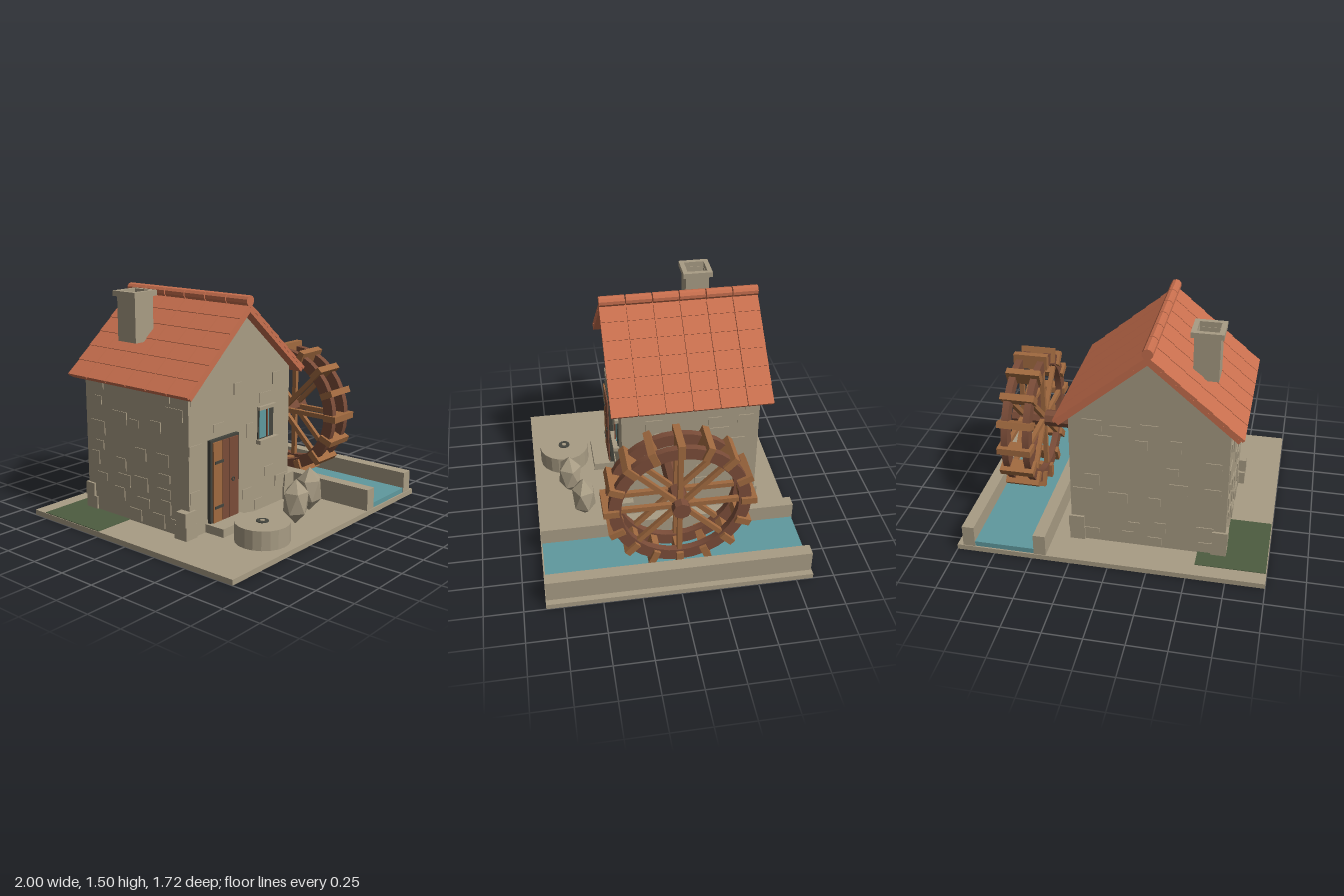
import * as THREE from 'three';
import { toCreasedNormals } from 'three/addons/utils/BufferGeometryUtils.js';

const mat = (name, color) => {
  const m = new THREE.MeshStandardMaterial({ color });
  m.name = name;
  return m;
};

export function createModel() {
  const stone = mat('stone', 0xa89c84), tile = mat('roof tile', 0xc86f4e);
  const darkWood = mat('dark wood', 0x7a4c38), lightWood = mat('light wood', 0xa0693f);
  const iron = mat('dark iron', 0x43443d), water = mat('water', 0x5f999e), moss = mat('moss', 0x4d5c40);
  const model = new THREE.Group();
  model.name = 'watermill';

  const add = (name, geo, m, x = 0, y = 0, z = 0, parent = model) => {
    const mesh = new THREE.Mesh(toCreasedNormals(geo, 0.2), m);
    mesh.name = name;
    mesh.position.set(x, y, z);
    parent.add(mesh);
    return mesh;
  };
  // box given by its limits on each axis
  const box = (name, m, [x0, x1], [y0, y1], [z0, z1], parent = model) =>
    add(name, new THREE.BoxGeometry(x1 - x0, y1 - y0, z1 - z0), m,
      (x0 + x1) / 2, (y0 + y1) / 2, (z0 + z1) / 2, parent);
  const group = (name, x = 0, y = 0, z = 0, parent = model) => {
    const g = new THREE.Group();
    g.name = name;
    g.position.set(x, y, z);
    parent.add(g);
    return g;
  };
  let seed = 7;
  const rand = () => (seed = (seed * 16807) % 2147483647) / 2147483647;

  // ground, moss and mill race
  box('base', stone, [-1, 1], [0, 0.035], [-0.86, 0.86]);
  box('mossPatch', moss, [-0.995, -0.545], [0.035, 0.039], [-0.76, -0.245]);
  box('water', water, [0.485, 0.88], [0.035, 0.07], [-0.85, 0.85]);
  for (const x of [0.405, 0.88]) box('channelWall', stone, [x, x + 0.08], [0.035, 0.18], [-0.855, 0.855]);

  // house body with gables
  const RX = -0.22, X0 = -0.72, X1 = 0.285, Z0 = -0.63, Z1 = 0.28;
  const wall = new THREE.Shape([[X0, 0.035], [X1, 0.035], [X1, 0.985], [RX, 1.41], [X0, 0.985]]
    .map(p => new THREE.Vector2(...p)));
  add('houseWalls', new THREE.ExtrudeGeometry(wall, { depth: Z1 - Z0, bevelEnabled: false }), stone, 0, 0, Z0);

  // slightly raised stones scattered over the four walls
  const stones = group('wallStones');
  const t = 0.006;
  for (const side of ['front', 'back', 'left', 'right']) {
    const alongX = side === 'front' || side === 'back';
    const [a, b] = alongX ? [X0, X1] : [Z0, Z1];
    for (let row = 0; row < 9; row++) {
      for (let p = a + rand() * 0.1; p < b - 0.14; p += 0.15 + rand() * 0.08) {
        const w = 0.07 + rand() * 0.07, y = 0.05 + row * 0.103, h = 0.05 + rand() * 0.045;
        if (rand() < 0.5) continue;
        if (side === 'front' && ((p < -0.25 && p + w > -0.57 && y < 0.66) ||
          (p < 0.14 && p + w > -0.09 && y < 0.76 && y + h > 0.48))) continue;
        const face = { front: [Z1, Z1 + t], back: [Z0 - t, Z0], left: [X1, X1 + t], right: [X0 - t, X0] }[side];
        if (alongX) box('wallStone', stone, [p, p + w], [y, y + h], face, stones);
        else box('wallStone', stone, face, [y, y + h], [p, p + w], stones);
      }
    }
  }
  // stepped quoins at the foot of each corner
  for (const [cx, sx] of [[X0, -1], [X1, 1]]) for (const [cz, sz] of [[Z0, -1], [Z1, 1]]) {
    const out = sz > 0 ? 0.045 : 0.01;
    add('quoin', new THREE.BoxGeometry(0.1, 0.09, 0.1), stone, cx + sx * (out - 0.05), 0.08, cz + sz * -0.035);
    add('quoin', new THREE.BoxGeometry(0.1, 0.09, 0.08), stone, cx + sx * (out - 0.045), 0.17, cz + sz * -0.025);
  }

  // roof: two slopes, each a board covered with rows of overlapping tiles
  const ZC = -0.175, LEN = 1.06, pitch = 0.703, slope = 0.76;
  for (const s of [-1, 1]) {
    const g = group(s > 0 ? 'leftRoof' : 'rightRoof', RX, 1.45, ZC);
    g.rotation.z = -s * pitch;
    add('roofBoard', new THREE.BoxGeometry(slope - 0.01, 0.025, LEN - 0.01), tile, s * slope / 2, -0.03, 0, g);
    const rows = 6, cols = 6, rl = slope / rows, cw = LEN / cols;
    for (let r = 0; r < rows; r++) for (let c = 0; c < cols; c++) {
      const m = add('roofTile', new THREE.BoxGeometry(rl + 0.01, 0.02, cw - 0.008), tile,
        s * (r + 0.5) * rl, -0.008, (c + 0.5) * cw - LEN / 2, g);
      m.rotation.z = s * 0.04;
    }
  }
  for (let c = 0; c < 6; c++) {
    const g = new THREE.CylinderGeometry(0.035, 0.035, LEN / 6 - 0.008, 10).rotateX(Math.PI / 2);
    add('ridgeTile', g, tile, RX, 1.465, ZC - LEN / 2 + (c + 0.5) * LEN / 6);
  }

  // hollow chimney
  const tube = (half, hole, h) => {
    const sq = k => [[-k, -k], [k, -k], [k, k], [-k, k]].map(p => new THREE.Vector2(...p));
    const s = new THREE.Shape(sq(half));
    s.holes.push(new THREE.Path(sq(hole)));
    return new THREE.ExtrudeGeometry(s, { depth: h, bevelEnabled: false }).rotateX(-Math.PI / 2);
  };
  add('chimney', tube(0.08, 0.065, 0.29), stone, -0.53, 1.18, -0.345);
  add('chimneyCap', tube(0.1, 0.068, 0.035), stone, -0.53, 1.47, -0.345);
  box('flue', iron, [-0.595, -0.465], [1.27, 1.28], [-0.41, -0.28]);

  // door with frame, planks, hinges and handle
  box('doorFrame', iron, [-0.55, -0.275], [0.05, 0.63], [0.27, 0.305]);
  [[-0.53, -0.447, lightWood], [-0.443, -0.385, darkWood], [-0.381, -0.29, darkWood]].forEach(([a, b, m]) =>
    box('doorPlank', m, [a, b], [0.06, 0.615], [0.29, 0.315]));
  for (const y of [0.18, 0.475]) box('hinge', iron, [-0.52, -0.44], [y, y + 0.018], [0.31, 0.32]);
  add('doorHandle', new THREE.TorusGeometry(0.012, 0.004, 6, 12), iron, -0.345, 0.34, 0.318);
  box('doorStep', stone, [-0.57, -0.265], [0.035, 0.09], [0.28, 0.425]);

  // window
  box('windowFrame', iron, [-0.055, 0.105], [0.525, 0.73], [0.27, 0.288]);
  box('windowGlass', water, [-0.045, 0.055], [0.535, 0.725], [0.286, 0.292]);
  box('windowBar', darkWood, [0.022, 0.034], [0.535, 0.725], [0.286, 0.3]);
  box('windowSill', stone, [-0.07, 0.125], [0.5, 0.527], [0.27, 0.32]);
  box('windowLintel', stone, [-0.06, 0.115], [0.725, 0.748], [0.27, 0.305]);

  // millstone lying in the yard
  add('millstone', new THREE.CylinderGeometry(0.175, 0.175, 0.125, 20), stone, -0.44, 0.0975, 0.63);
  add('millstoneEye', new THREE.CylinderGeometry(0.04, 0.04, 0.006, 12), iron, -0.44, 0.162, 0.63);
  add('millstonePin', new THREE.CylinderGeometry(0.016, 0.016, 0.008, 8), stone, -0.44, 0.164, 0.63);

  // pointed boulders
  [[-0.075, 0.615, 0.2], [0.18, 0.54, 0.9]].forEach(([x, z, turn]) => {
    const g = new THREE.IcosahedronGeometry(1, 0).rotateZ(-0.5536).rotateY(turn).scale(0.098, 0.152, 0.088);
    add('boulder', g, stone, x, 0.182, z);
  });

  // water wheel: axle, two rims with spokes, paddles
  const wheel = group('waterWheel', 0, 0.552, -0.02);
  add('axle', new THREE.CylinderGeometry(0.058, 0.058, 0.565, 8).rotateZ(Math.PI / 2), darkWood, 0.5625, 0, 0, wheel);
  const ring = new THREE.Shape().absarc(0, 0, 0.45, 0, Math.PI * 2);
  ring.holes.push(new THREE.Path().absarc(0, 0, 0.372, 0, Math.PI * 2, true));
  for (const x of [0.605, 0.75]) {
    const rim = new THREE.ExtrudeGeometry(ring, { depth: 0.045, bevelEnabled: false, curveSegments: 16 });
    add('rim', rim.rotateY(Math.PI / 2), darkWood, x, 0, 0, wheel);
    for (let i = 0; i < 8; i++) {
      const spoke = new THREE.BoxGeometry(0.03, 0.35, 0.032).translate(0, 0.21, 0);
      add('spoke', spoke, lightWood, x + 0.0225, 0, 0, wheel).rotation.x = i * Math.PI / 4;
    }
  }
  for (let i = 0; i < 16; i++) {
    const paddle = new THREE.BoxGeometry(0.23, 0.1, 0.045).translate(0, 0.433, 0);
    add('paddle', paddle, lightWood, 0.7, 0, 0, wheel).rotation.x = i * Math.PI / 8;
  }
  return model;
}
